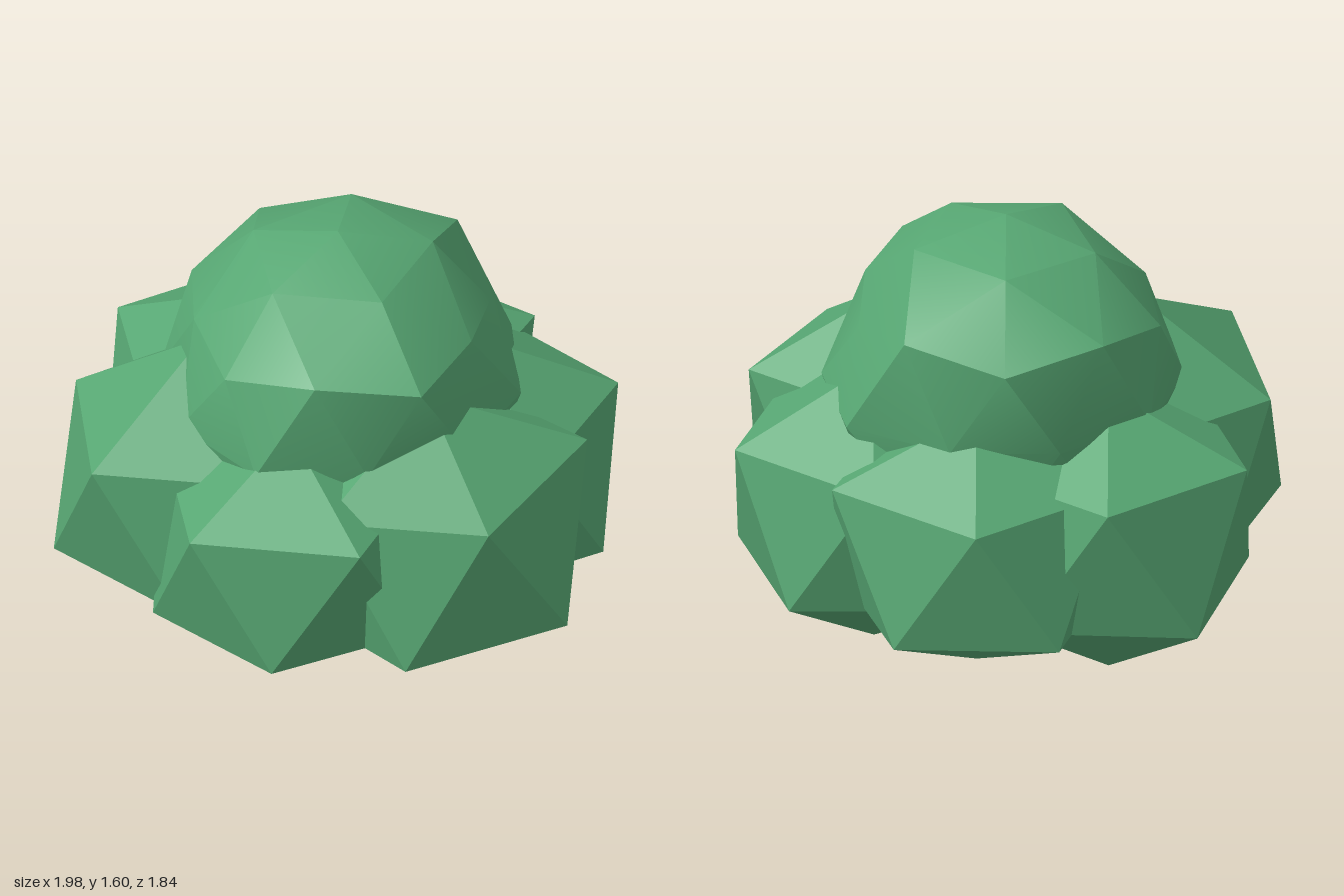
import * as THREE from 'three';
import { toCreasedNormals } from 'three/addons/utils/BufferGeometryUtils.js';

const DEG = Math.PI / 180;

// Unit icosahedron standing on a point, as 20 triangles of directions
function icoFaces() {
  const top = new THREE.Vector3(0, 1, 0), bottom = new THREE.Vector3(0, -1, 0);
  const e = Math.atan(0.5);
  const ring = (elev, start) => Array.from({ length: 5 }, (_, k) => {
    const a = (start + 72 * k) * DEG;
    return new THREE.Vector3(Math.cos(a) * Math.cos(elev), Math.sin(elev), Math.sin(a) * Math.cos(elev));
  });
  const U = ring(e, 0), L = ring(-e, 36), faces = [];
  for (let k = 0; k < 5; k++) {
    const n = (k + 1) % 5;
    faces.push([top, U[n], U[k]], [U[k], U[n], L[k]], [L[k], U[n], L[n]], [L[k], L[n], bottom]);
  }
  return faces;
}

// Split each triangle into four on the sphere
function subdivide(faces) {
  const mid = (p, q) => p.clone().add(q).normalize();
  return faces.flatMap(([a, b, c]) => {
    const ab = mid(a, b), bc = mid(b, c), ca = mid(c, a);
    return [[a, ab, ca], [ab, b, bc], [ca, bc, c], [ab, bc, ca]];
  });
}

// Lumpy ball: bumps maps 'elevation@angle' in degrees to that corner's radius
function lumpGeometry(faces, radius, bumps) {
  const pos = [];
  for (const v of faces.flat()) {
    const elev = Math.round(Math.asin(THREE.MathUtils.clamp(v.y, -1, 1)) / DEG);
    const ang = Math.abs(elev) > 85 ? 0 : (Math.round(Math.atan2(v.z, v.x) / DEG) + 360) % 360;
    const r = bumps[`${elev}@${ang}`] ?? radius;
    pos.push(v.x * r, v.y * r, v.z * r);
  }
  const g = new THREE.BufferGeometry();
  g.setAttribute('position', new THREE.Float32BufferAttribute(pos, 3));
  g.computeVertexNormals();
  return g;
}

export function createModel() {
  const group = new THREE.Group();
  const leafGreen = new THREE.MeshStandardMaterial({ color: 0x57a773 });
  leafGreen.name = 'leafGreen';

  const add = (name, geometry, x, y, z) => {
    const mesh = new THREE.Mesh(geometry, leafGreen);
    mesh.name = name;
    mesh.position.set(x, y, z);
    group.add(mesh);
  };

  // Six faceted lobes in a ring: name, centre height, radius, uneven corners
  const lobes = [
    ['leftLobe', 0.585, 0.555, { '27@0': 0.565, '90@0': 0.51 }],
    ['frontLeftLobe', 0.63, 0.58, { '27@0': 0.63, '27@72': 0.51, '-27@108': 0.59, '-27@36': 0.605, '90@0': 0.54 }],
    ['frontRightLobe', 0.605, 0.54, { '27@144': 0.56, '27@72': 0.575, '-27@108': 0.52, '-90@0': 0.505, '90@0': 0.47 }],
    ['rightLobe', 0.637, 0.56, { '-27@180': 0.58, '27@144': 0.61, '27@216': 0.54, '-90@0': 0.537, '90@0': 0.57 }],
    ['backRightLobe', 0.605, 0.57, { '27@288': 0.57, '27@216': 0.565, '-27@252': 0.59, '-90@0': 0.6, '90@0': 0.48 }],
    ['backLeftLobe', 0.595, 0.55, { '27@288': 0.505, '27@0': 0.587, '-27@324': 0.54, '-90@0': 0.485, '90@0': 0.48 }],
  ];
  const faces = icoFaces();
  lobes.forEach(([name, y, r, bumps], i) => {
    const a = i * 60 * DEG;
    add(name, lumpGeometry(faces, r, bumps), 0.005 + 0.48 * Math.cos(a), y, 0.48 * Math.sin(a));
  });

  // Softer, finer crown on top
  const crown = lumpGeometry(subdivide(faces), 0.62, {
    '90@0': 0.625, '58@0': 0.635, '58@288': 0.64,
    '27@0': 0.6, '27@72': 0.69, '27@288': 0.69, '27@144': 0.63, '27@216': 0.63,
    '32@36': 0.605, '32@108': 0.675, '32@180': 0.595, '32@252': 0.68, '32@324': 0.7,
    '0@18': 0.64, '0@342': 0.68, '0@126': 0.65, '0@90': 0.6,
  });
  add('crown', toCreasedNormals(crown, 25 * DEG), 0.005, 0.98, 0);

  return group;
}
